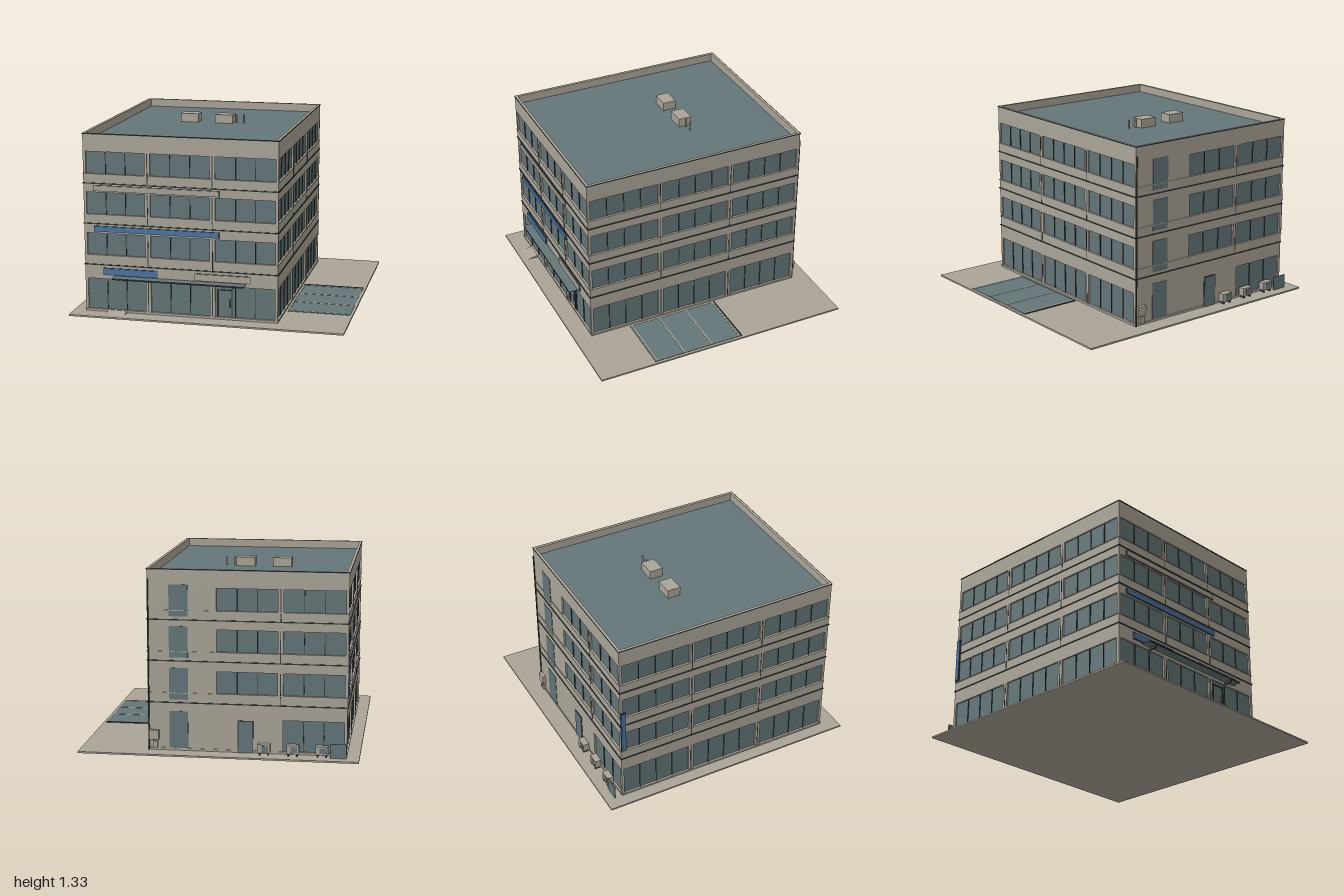
import * as THREE from 'three';

const mat = (name, color) => Object.assign(new THREE.MeshStandardMaterial({ color }), { name });

export function createModel() {
  const wall = mat('stone', 0xaba598);
  const glass = mat('glass', 0x637678);
  const dark = mat('dark metal', 0x343a3b);
  const blue = mat('sign blue', 0x4b74a3);
  const model = new THREE.Group();
  model.name = 'officeBuilding';

  // Box given by its extents on each axis
  function box(parent, name, m, x0, x1, y0, y1, z0, z1) {
    const mesh = new THREE.Mesh(new THREE.BoxGeometry(x1 - x0, y1 - y0, z1 - z0), m);
    mesh.position.set((x0 + x1) / 2, (y0 + y1) / 2, (z0 + z1) / 2);
    mesh.name = name;
    parent.add(mesh);
    return mesh;
  }
  function pipe(name, m, r, x, y0, y1, z) {
    const mesh = new THREE.Mesh(new THREE.CylinderGeometry(r, r, y1 - y0, 12), m);
    mesh.position.set(x, (y0 + y1) / 2, z);
    mesh.name = name;
    model.add(mesh);
  }

  const X0 = -0.91, X1 = 0.51, Z = 0.845, G = 0.012, R = 0.018, TOP = 1.32, ROOF = 1.255;
  const floors = [[0.03, 0.257], [0.435, 0.595], [0.735, 0.895], [1.03, 1.19]];

  // Ground slab and inner core
  box(model, 'groundSlab', wall, -1, 1, 0, G, -0.975, 0.975);
  box(model, 'core', wall, X0 + R, X1 - R, G, 1.2, -Z + R, Z - R);

  // Solid bands between the window rows
  let below = G;
  for (const [a, b] of floors) {
    box(model, 'wallBand', wall, X0, X1, below, a, -Z, Z);
    box(model, 'windowSill', wall, X0 - 0.004, X1 + 0.004, a - 0.006, a, -Z - 0.004, Z + 0.004);
    below = b;
  }
  box(model, 'topBand', wall, X0, X1, below, ROOF, -Z, Z);
  for (const y of [0.362, 0.665, 0.96])
    box(model, 'ledge', dark, X0 - 0.005, X1 + 0.005, y - 0.004, y + 0.004, -Z - 0.005, Z + 0.005);

  // Roof deck, parapet and coping
  const P = 0.018;
  box(model, 'roofDeck', glass, X0 + P, X1 - P, ROOF, ROOF + 0.005, -Z + P, Z - P);
  function rim(name, m, t, y0, y1, o) {
    for (const s of [-1, 1]) {
      const ze = s * (Z + o), zi = s * (Z - t);
      box(model, name, m, X0 - o, X1 + o, y0, y1, Math.min(ze, zi), Math.max(ze, zi));
    }
    box(model, name, m, X0 - o, X0 + t, y0, y1, -Z + t, Z - t);
    box(model, name, m, X1 - t, X1 + o, y0, y1, -Z + t, Z - t);
  }
  rim('parapet', wall, P, ROOF, TOP, 0);
  rim('copingEdge', dark, 0.001, TOP - 0.006, TOP, 0.004);

  // Facades: local x runs along the wall, local z points outward
  function facade(name, width, x, z, angle, panes, blank) {
    const f = new THREE.Group();
    f.name = name;
    f.position.set(x, 0, z);
    f.rotation.y = angle;
    model.add(f);
    const bay = width / 3;
    floors.forEach(([a, b], level) => {
      for (let i = 0; i < 3; i++) {
        const l = -width / 2 + i * bay, r = l + bay;
        if (blank(i, level)) {
          box(f, 'solidBay', wall, l, r, a, b, -R, 0);
          continue;
        }
        const gl = l + 0.02, gr = r - 0.02;
        box(f, 'pier', wall, l, gl, a, b, -R, 0);
        box(f, 'pier', wall, gr, r, a, b, -R, 0);
        box(f, 'windowPane', glass, gl, gr, a, b, -R, -R + 0.006);
        for (let k = 1; k < panes; k++) {
          const u = gl + (gr - gl) * k / panes;
          box(f, 'mullion', dark, u - 0.0025, u + 0.0025, a, b, -R + 0.006, -R + 0.012);
        }
      }
      // Joint running down the middle of each pier
      for (const u of [-bay / 2, bay / 2]) {
        if (blank(u < 0 ? 0 : 2, level) || blank(1, level)) continue;
        box(f, 'pierJoint', dark, u - 0.003, u + 0.003, level ? a - 0.065 : a, b, 0, 0.002);
      }
    });
    return f;
  }
  const W = X1 - X0, cx = (X0 + X1) / 2, none = () => false;
  const front = facade('frontFacade', W, cx, Z, 0, 3, none);
  facade('leftFacade', 2 * Z, X1, 0, Math.PI / 2, 4, none);
  facade('rightFacade', 2 * Z, X0, 0, -Math.PI / 2, 4, none);
  const back = facade('backFacade', W, cx, -Z, Math.PI, 3, (i, level) => i === 0 || (i === 1 && level === 0));

  // Stairwell windows and service door at the back
  for (const [a, b] of [[0.03, 0.3], [0.385, 0.615], [0.69, 0.915], [0.985, 1.21]])
    box(back, 'stairWindow', glass, -0.555, -0.42, a, b, 0, 0.003);
  box(back, 'serviceDoorFrame', dark, -0.066, 0.046, G, 0.246, 0, 0.003);
  box(back, 'serviceDoor', glass, -0.06, 0.04, G, 0.24, 0, 0.006);

  // Entrance door in the front glazing
  for (const u of [0.27, 0.375])
    box(front, 'entranceDoorFrame', dark, u, u + 0.006, 0.03, 0.23, -0.012, -0.004);
  box(front, 'entranceDoorHead', dark, 0.27, 0.381, 0.225, 0.231, -0.012, -0.004);
  box(front, 'doorHandle', dark, 0.36, 0.365, 0.1, 0.16, -0.012, 0);

  // Sign boards with a dark backing edge
  function sign(m, x0, x1, y0, y1) {
    box(model, 'signBacking', dark, x0 - 0.003, x1 + 0.003, y0 - 0.003, y1 + 0.003, Z, Z + 0.004);
    box(model, 'signBoard', m, x0, x1, y0, y1, Z, Z + 0.01);
  }
  sign(wall, -0.835, 0.085, 0.907, 0.945);
  sign(blue, -0.835, 0.085, 0.61, 0.647);
  sign(blue, -0.77, -0.37, 0.29, 0.338);
  sign(wall, -0.09, 0.31, 0.29, 0.338);
  box(model, 'sideSignEdge', dark, X0 - 0.006, X0, 0.44, 0.78, -0.845, -0.805);
  box(model, 'sideSign', blue, X0 - 0.011, X0, 0.445, 0.775, -0.84, -0.81);

  // Entrance canopy and brackets
  box(model, 'canopy', glass, -0.685, 0.28, 0.278, 0.284, Z, 0.917);
  box(model, 'canopyEdge', dark, -0.685, 0.28, 0.274, 0.284, 0.917, 0.92);
  for (const x of [-0.6, 0.2])
    box(model, 'canopyBracket', dark, x - 0.006, x + 0.006, 0.262, 0.278, Z, 0.9);

  // Sloped entrance ramp
  const slope = new THREE.Shape([[0, 0], [0.08, 0], [0, 0.016]].map(p => new THREE.Vector2(...p)));
  const ramp = new THREE.Mesh(new THREE.ExtrudeGeometry(slope, { depth: 0.14, bevelEnabled: false }), wall);
  ramp.rotation.y = -Math.PI / 2;
  ramp.position.set(-0.6, G, Z);
  ramp.name = 'entranceRamp';
  model.add(ramp);

  // Rooftop units and vents
  for (const x of [-0.45, -0.18])
    box(model, 'roofUnit', wall, x, x + 0.137, ROOF, 1.325, -0.23, -0.13);
  for (const x of [-0.025, 0.035]) pipe('roofVent', wall, 0.007, x, ROOF, 1.323, -0.18);

  // Parking bays with painted lines and end barrier
  box(model, 'parkingSurface', glass, 0.525, 0.98, G, G + 0.003, -0.15, 0.545);
  for (const z of [-0.142, 0.087, 0.308, 0.53])
    box(model, 'parkingLine', wall, 0.525, 0.98, G, G + 0.005, z - 0.005, z + 0.005);
  box(model, 'parkingEdge', wall, 0.525, 0.532, G, G + 0.005, -0.15, 0.545);
  box(model, 'parkingCurb', dark, 0.525, 0.98, G, G + 0.007, -0.159, -0.15);

  // Service equipment along the back wall
  for (const x of [-0.78, -0.575, -0.37]) {
    box(model, 'airConditioner', wall, x, x + 0.088, 0.03, 0.09, -0.897, -0.85);
    box(model, 'airConditionerGrille', glass, x + 0.012, x + 0.06, 0.04, 0.08, -0.9, -0.897);
    for (const u of [0.01, 0.07])
      box(model, 'airConditionerFoot', dark, x + u, x + u + 0.008, G, 0.03, -0.895, -0.852);
  }
  box(model, 'screenPanel', glass, -0.91, -0.795, G, 0.115, -0.903, -0.897);
  box(model, 'meterBox', wall, 0.43, 0.5, 0.09, 0.16, -0.87, -Z);
  box(model, 'meterCabinet', wall, 0.44, 0.475, 0.03, 0.08, -0.862, -Z);
  pipe('drainPipe', dark, 0.005, 0.503, G, 1.25, -0.85);
  return model;
}
